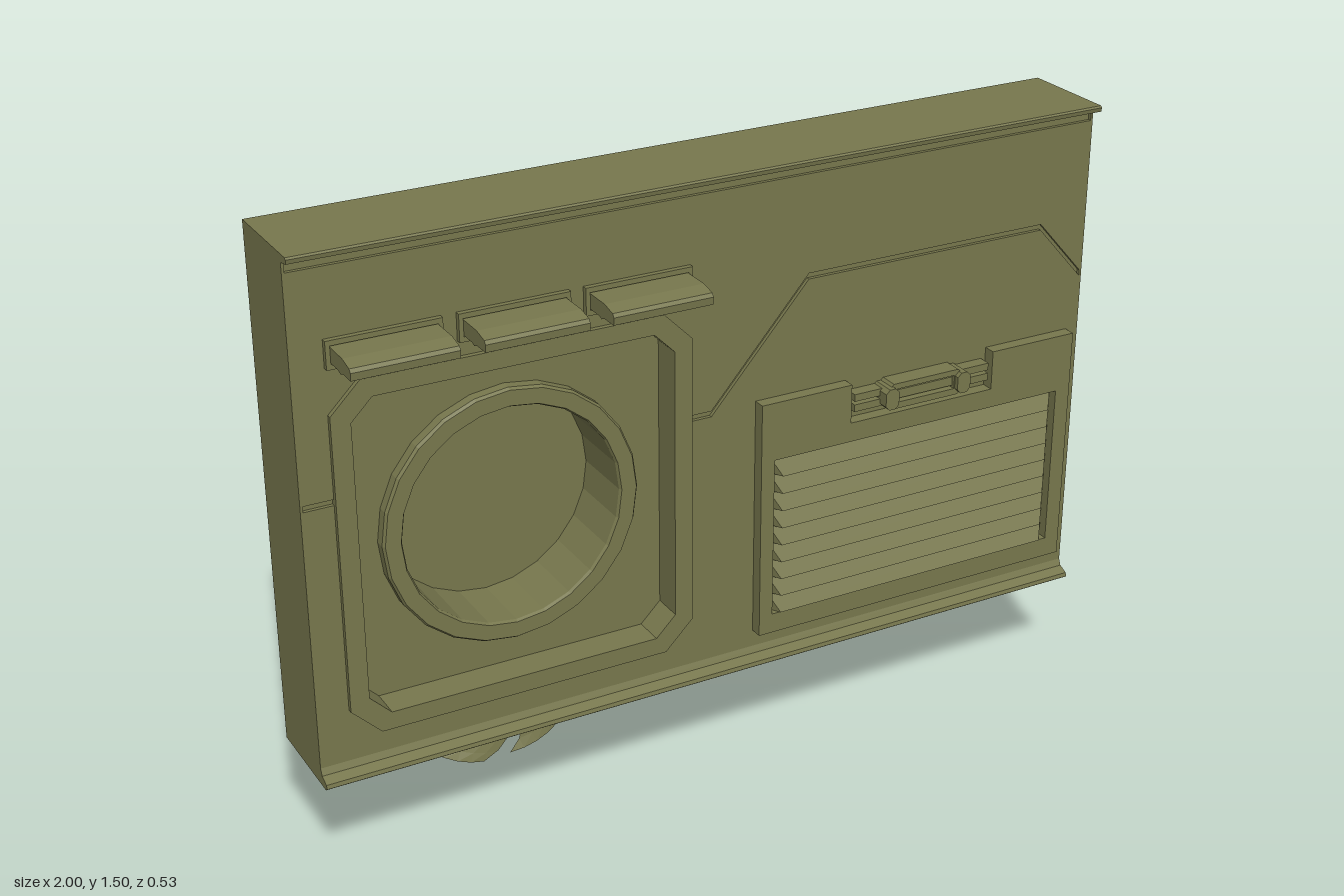
import * as THREE from 'three';

const mat = new THREE.MeshStandardMaterial({ color: 0x77774d, flatShading: true, side: THREE.DoubleSide });

function add(group, name, geo, x = 0, y = 0, z = 0) {
  const m = new THREE.Mesh(geo, mat);
  m.name = name;
  m.position.set(x, y, z);
  group.add(m);
  return m;
}
const vec = (pts) => pts.map(([x, y]) => new THREE.Vector2(x, y));
const rect = (x0, y0, x1, y1) => [[x0, y0], [x1, y0], [x1, y1], [x0, y1]];
const octagon = (x0, y0, x1, y1, c) => [
  [x0 + c, y0], [x1 - c, y0], [x1, y0 + c], [x1, y1 - c],
  [x1 - c, y1], [x0 + c, y1], [x0, y1 - c], [x0, y0 + c]];

// Flat plate between two depths, with polygon holes
function plate(pts, z0, z1, holes = []) {
  const s = new THREE.Shape(vec(pts));
  holes.forEach((h) => s.holes.push(new THREE.Path(vec(h))));
  return new THREE.ExtrudeGeometry(s, { depth: z1 - z0, bevelEnabled: false }).translate(0, 0, z0);
}
// Bar along x from a (z, y) profile
function bar(profile, x0, x1) {
  const s = new THREE.Shape(vec(profile.map(([z, y]) => [-z, y])));
  return new THREE.ExtrudeGeometry(s, { depth: x1 - x0, bevelEnabled: false })
    .rotateY(Math.PI / 2).translate(x0, 0, 0);
}
// Grille outline with the handle notch; g grows it
const grilleOutline = (g) => [
  [0.095 - g, 0.335 - g], [0.965 + g, 0.335 - g], [0.965 + g, 0.935 + g], [0.73 - g, 0.935 + g],
  [0.73 - g, 0.838 + g], [0.335 + g, 0.838 + g], [0.335 + g, 0.935 + g], [0.095 - g, 0.935 + g]];

function housing() {
  const g = new THREE.Group();
  g.name = 'housing';
  for (const s of [-1, 1]) add(g, 'sideWall', new THREE.BoxGeometry(0.006, 1.24, 0.22), s * 0.997, 0.875, 0.035);
  // Top and bottom walls with their hooked front lips
  add(g, 'topWall', bar([[-0.075, 1.5], [0.172, 1.5], [0.176, 1.496], [0.174, 1.486], [0.15, 1.482],
    [0.136, 1.476], [0.13, 1.46], [0.12, 1.46], [0.12, 1.494], [-0.075, 1.494]], -1, 1));
  add(g, 'bottomWall', bar([[-0.075, 0.25], [0.17, 0.25], [0.178, 0.256], [0.176, 0.266], [0.152, 0.276],
    [0.145, 0.292], [0.12, 0.292], [0.12, 0.256], [-0.075, 0.256]], -1, 1));

  // Back sheet, and two front sheets whose gap makes the seam
  const frame = octagon(-0.92, 0.355, -0.08, 1.195, 0.07);
  const slots = slotX.map((x) => rect(x - 0.13, 1.235, x + 0.13, 1.3));
  add(g, 'backSheet', plate(rect(-0.995, 0.255, 0.995, 1.495), 0.128, 0.136,
    [frame, grilleOutline(0.006), ...slots]));
  const seam = [[-1, 0.93], [-0.02, 0.93], [0.23, 1.215], [0.87, 1.215], [1, 1.07]];
  const upper = seam.map(([x, y]) => [x, y + 0.006]), lower = seam.map(([x, y]) => [x, y - 0.008]);
  // Each sheet runs round its own part of the frame opening
  add(g, 'upperSheet', plate([upper[0], [-0.92, 0.936], [-0.92, 1.125], [-0.85, 1.195], [-0.15, 1.195],
    [-0.08, 1.125], [-0.08, 0.936], ...upper.slice(1), [1, 1.457], [-1, 1.457]], 0.136, 0.145));
  add(g, 'lowerSheet', plate([lower[0], [-0.92, 0.922], [-0.92, 0.425], [-0.85, 0.355], [-0.15, 0.355],
    [-0.08, 0.425], [-0.08, 0.922], ...lower.slice(1), [1, 0.285], [-1, 0.285]], 0.136, 0.145));
  return g;
}

const slotX = [-0.795, -0.5, -0.205];

// Three projecting hoods in framed slots
function vents() {
  const g = new THREE.Group();
  g.name = 'hoodedVents';
  for (const x of slotX) {
    add(g, 'slotFrame', plate(rect(x - 0.13, 1.235, x + 0.13, 1.3), 0.14, 0.158,
      [rect(x - 0.12, 1.247, x + 0.12, 1.288)]));
    add(g, 'hood', bar([[0.13, 1.286], [0.225, 1.286], [0.262, 1.278], [0.268, 1.27], [0.266, 1.252],
      [0.225, 1.252], [0.21, 1.246], [0.2, 1.25], [0.13, 1.25]], x - 0.12, x + 0.12));
    add(g, 'slotBack', new THREE.BoxGeometry(0.244, 0.049, 0.008), x, 1.2675, 0.132);
  }
  return g;
}

// Sunken square bay holding a round well
function roundBay() {
  const g = new THREE.Group();
  g.name = 'roundBay';
  const inner = octagon(-0.88, 0.393, -0.12, 1.157, 0.05);
  add(g, 'bayFrame', plate(octagon(-0.925, 0.35, -0.075, 1.2, 0.07), 0.07, 0.157, [inner]));
  const hole = [];
  for (let i = 0; i < 24; i++) {
    const a = i / 24 * Math.PI * 2;
    hole.push([-0.5 + 0.28 * Math.cos(a), 0.775 + 0.28 * Math.sin(a)]);
  }
  add(g, 'bayFloor', plate(inner, 0.07, 0.08, [hole]));
  // Profile: closed back, stepped outer wall, front rim, inner wall, well floor
  const profile = vec([[0, -0.075], [0.275, -0.075], [0.285, -0.05], [0.31, -0.04], [0.31, 0.105],
    [0.305, 0.112], [0.268, 0.112], [0.264, 0.105], [0.264, -0.06], [0, -0.06]]);
  add(g, 'roundWell', new THREE.LatheGeometry(profile, 24).rotateX(Math.PI / 2), -0.5, 0.775, 0);
  return g;
}

// One slat: sloped front face with tapered ends
function slat(x0, x1, h) {
  const geo = new THREE.BoxGeometry(x1 - x0, h, 0.038);
  const p = geo.attributes.position;
  for (let i = 0; i < p.count; i++) {
    if (p.getZ(i) < 0) continue;
    if (p.getY(i) > 0) p.setZ(i, -0.008);
    else p.setX(i, p.getX(i) - Math.sign(p.getX(i)) * 0.022);
  }
  geo.computeVertexNormals();
  return geo;
}

function grille() {
  const g = new THREE.Group();
  g.name = 'grille';
  add(g, 'grillePlate', plate(grilleOutline(0), 0.14, 0.176, [rect(0.13, 0.385, 0.925, 0.79)]));
  add(g, 'grilleBack', plate(grilleOutline(-0.003), 0.127, 0.14));
  const n = 9, h = 0.405 / n;
  for (let i = 0; i < n; i++) add(g, 'slat', slat(0.13, 0.925, h), 0.5275, 0.385 + (i + 0.5) * h, 0.16);
  return g;
}

// Latch in the grille notch
function latch() {
  const g = new THREE.Group();
  g.name = 'latch';
  const cx = 0.53, y = 0.888;
  add(g, 'latchFrame', plate(octagon(cx - 0.105, y - 0.032, cx + 0.105, y + 0.032, 0.015), 0.145, 0.192,
    [rect(cx - 0.08, y - 0.016, cx + 0.08, y + 0.018)]));
  add(g, 'latchBar', new THREE.BoxGeometry(0.17, 0.022, 0.03), cx, y, 0.168);
  for (const s of [-1, 1]) {
    add(g, 'latchKnuckle', plate(octagon(cx + s * 0.1 - 0.018, y - 0.026, cx + s * 0.1 + 0.018, y + 0.026, 0.01), 0.145, 0.204));
    for (const dy of [-0.014, 0.012])
      add(g, 'latchArm', new THREE.BoxGeometry(0.085, 0.018, 0.032), cx + s * 0.145, y + dy, 0.161);
  }
  return g;
}

// Curved, twisted fan blade built from rows along the radius
function blade() {
  const rows = 8, cols = 4, geo = new THREE.PlaneGeometry(1, 1, cols, rows);
  const p = geo.attributes.position;
  for (let i = 0; i < p.count; i++) {
    const t = p.getY(i) + 0.5, s = p.getX(i) * 2;
    const r = 0.035 + (0.207 - 0.007 * s) * t;
    const mid = -72 + 84 * t * (1 - t) + 6 * t;
    const a = (mid + s * (22 - 6 * t)) * Math.PI / 180;
    p.setXYZ(i, r * Math.cos(a), r * Math.sin(a), s * (0.018 - 0.004 * t) + 0.006 * (1 - s * s));
  }
  geo.computeVertexNormals();
  return geo;
}

function fan() {
  const g = new THREE.Group();
  g.name = 'fan';
  const bladeGeo = blade();
  for (let i = 0; i < 7; i++) add(g, 'fanBlade', bladeGeo, 0, 0, -0.113).rotation.z = i / 7 * Math.PI * 2;
  // Hub, collar, shaft and end cap turned in one piece
  const profile = vec([[0, -0.265], [0.021, -0.265], [0.021, -0.257], [0.014, -0.255], [0.014, -0.168],
    [0.028, -0.166], [0.028, -0.158], [0.021, -0.155], [0.021, -0.135], [0.04, -0.132], [0.05, -0.122],
    [0.05, -0.088], [0.042, -0.076], [0, -0.074]]);
  add(g, 'fanHubAndShaft', new THREE.LatheGeometry(profile, 16).rotateX(Math.PI / 2));
  g.position.set(-0.46, 0.245, 0);
  return g;
}

export function createModel() {
  const model = new THREE.Group();
  model.name = 'ventilationPanel';
  model.add(housing(), vents(), roundBay(), grille(), latch(), fan());
  return model;
}
